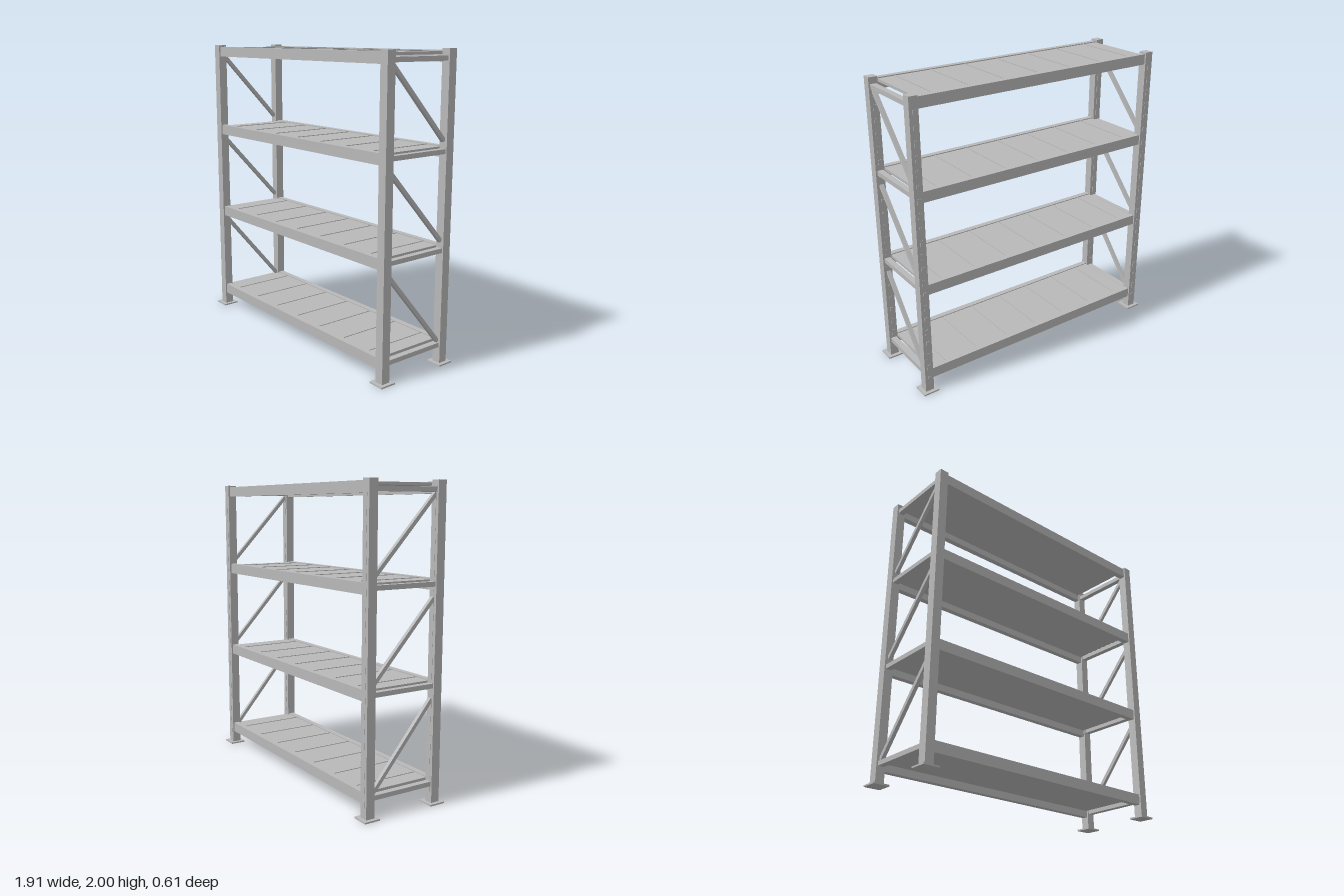
import * as THREE from 'three';

export function createModel() {
  const rack = new THREE.Group();
  rack.name = 'shelvingRack';
  const steel = new THREE.MeshStandardMaterial({ color: 0xb8b8b8 });
  steel.name = 'grey steel';

  const box = (name, parent, w, h, d, x, y, z) => {
    const mesh = new THREE.Mesh(new THREE.BoxGeometry(w, h, d), steel);
    mesh.name = name;
    mesh.position.set(x, y, z);
    parent.add(mesh);
    return mesh;
  };

  const postX = 0.9, postZ = 0.25, postSize = 0.06;
  const levels = [0.128, 0.754, 1.38, 1.954]; // beam centre heights

  // Upright posts with foot plates and a column of slots on the rear face
  for (const sx of [-1, 1]) for (const sz of [-1, 1]) {
    const upright = new THREE.Group();
    upright.name = 'upright';
    upright.position.set(sx * postX, 0, sz * postZ);
    rack.add(upright);
    box('footPlate', upright, 0.11, 0.01, 0.11, 0, 0.005, 0);
    box('post', upright, postSize, 1.99, postSize, 0, 1.005, 0);
    for (let i = 0; i < 21; i++) {
      box('slot', upright, 0.02, 0.04, 0.004, 0, 0.1 + i * 0.09, -postSize / 2 - 0.001);
    }
  }

  // Shelf levels: front and rear beams, deck and deck seams
  for (const y of levels) {
    const shelf = new THREE.Group();
    shelf.name = 'shelf';
    shelf.position.y = y;
    rack.add(shelf);
    for (const sz of [-1, 1]) box('beam', shelf, 1.74, 0.07, 0.04, 0, 0, sz * postZ);
    box('deck', shelf, 1.73, 0.018, 0.46, 0, 0.02, 0);
    for (let i = -3; i <= 3; i++) box('deckSeam', shelf, 0.006, 0.005, 0.455, i * 0.25, 0.031, 0);
  }

  // End frames: horizontal ties and diagonal braces between the posts
  const tieHeights = [0.132, 0.76, 1.385, 1.943];
  const diagonals = [[0.675, 0.155], [1.3, 0.82], [1.92, 1.45]]; // front y, rear y
  for (const sx of [-1, 1]) {
    const frame = new THREE.Group();
    frame.name = 'endFrame';
    frame.position.x = sx * postX;
    rack.add(frame);
    for (const y of tieHeights) box('tie', frame, 0.04, 0.03, 0.44, 0, y, 0);
    for (const [front, rear] of diagonals) {
      const rise = front - rear, run = 0.44;
      const brace = box('diagonalBrace', frame, 0.025, 0.025, Math.hypot(rise, run), 0, (front + rear) / 2, 0);
      brace.rotation.x = -Math.atan2(rise, run);
    }
  }
  return rack;
}
